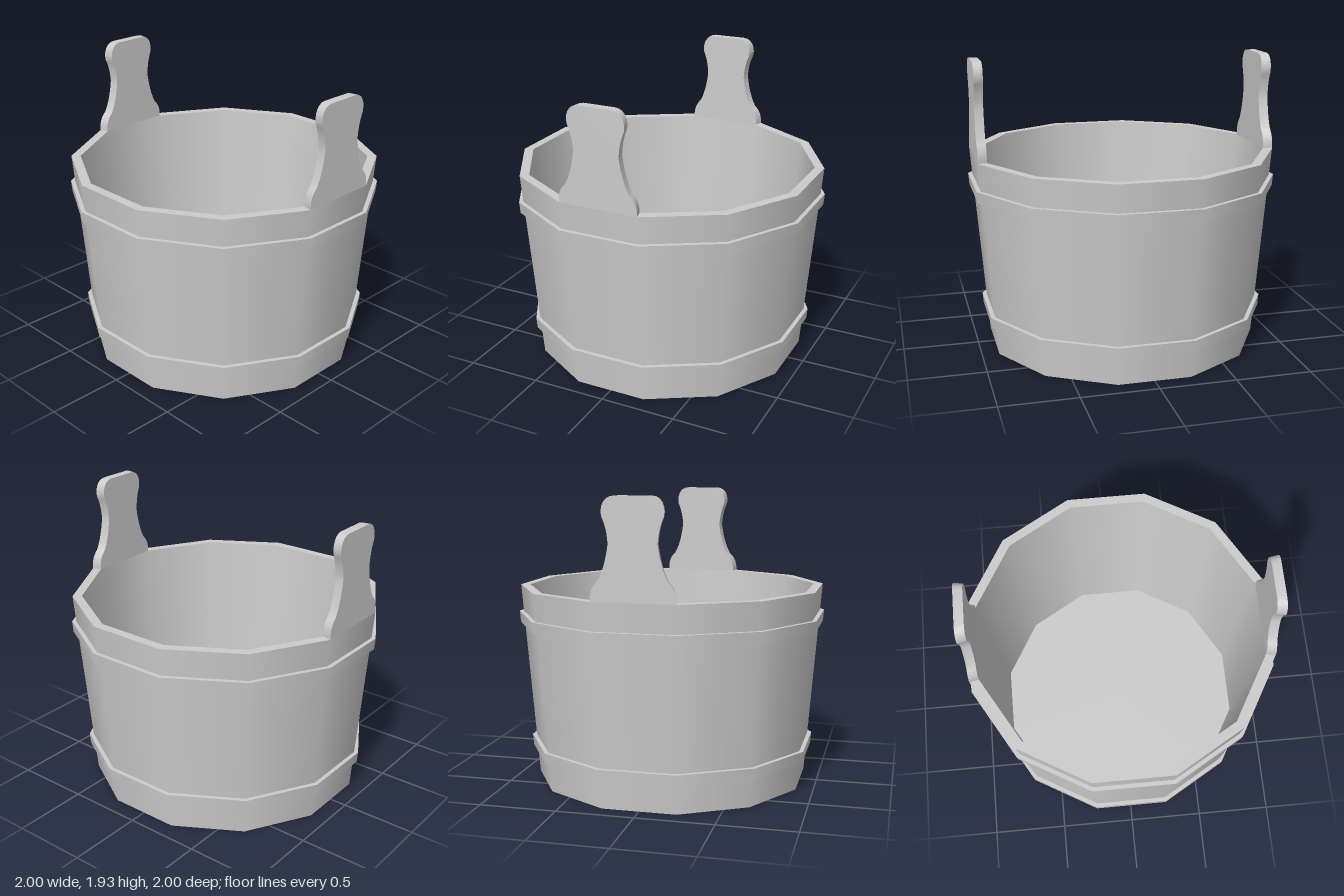
import * as THREE from 'three';
import { mergeGeometries, toCreasedNormals } from 'three/addons/utils/BufferGeometryUtils.js';

const SIDES = 12;
const HALF = Math.PI / SIDES;
const HEIGHT = 1.305;
const OUTER = 0.987, INNER = 0.927; // flat-to-centre distances at the rim
const SLOPE = 0.1 / HEIGHT;
const wallAt = (y) => OUTER - SLOPE * (HEIGHT - y);

const material = new THREE.MeshStandardMaterial({ color: 0xcccccc });

function addMesh(parent, name, geometry) {
  const mesh = new THREE.Mesh(geometry, material);
  mesh.name = name;
  parent.add(mesh);
  return mesh;
}

// Twelve-sided ring, smooth around but sharp at each profile corner.
// Profile points are [flat-to-centre distance, y].
function turned(profile) {
  const pts = profile.map(([r, y]) => new THREE.Vector2(r / Math.cos(HALF), y));
  const strips = [];
  for (let i = 0; i < pts.length - 1; i++) {
    strips.push(new THREE.LatheGeometry([pts[i], pts[i + 1]], SIDES, HALF));
  }
  return mergeGeometries(strips);
}

function hoop(y0, y1, out = 0.027) {
  const a = wallAt(y0), b = wallAt(y1);
  return turned([[a - 0.02, y0], [a + out, y0], [b + out, y1], [b - 0.02, y1]]);
}

// Upright grip with a narrow waist, its edges mitred like the staves
function handleGeometry() {
  const top = 1.928;
  const s = new THREE.Shape();
  s.moveTo(-0.264, HEIGHT);
  s.lineTo(0.264, HEIGHT);
  s.bezierCurveTo(0.268, 1.36, 0.25, 1.4, 0.215, 1.43);
  s.bezierCurveTo(0.18, 1.49, 0.16, 1.57, 0.15, 1.65);
  s.bezierCurveTo(0.155, 1.73, 0.17, 1.77, 0.188, 1.81);
  s.bezierCurveTo(0.2, 1.87, 0.17, top, 0.11, top);
  s.lineTo(-0.11, top);
  s.bezierCurveTo(-0.17, top, -0.2, 1.87, -0.188, 1.81);
  s.bezierCurveTo(-0.17, 1.77, -0.155, 1.73, -0.15, 1.65);
  s.bezierCurveTo(-0.16, 1.57, -0.18, 1.49, -0.215, 1.43);
  s.bezierCurveTo(-0.25, 1.4, -0.268, 1.36, -0.264, HEIGHT);
  const g = new THREE.ExtrudeGeometry(s, { depth: OUTER - INNER, bevelEnabled: false, curveSegments: 6 });
  g.translate(0, 0, INNER);
  const p = g.attributes.position;
  for (let i = 0; i < p.count; i++) p.setX(i, p.getX(i) * p.getZ(i) / OUTER);
  return toCreasedNormals(g, 0.6);
}

export function createModel() {
  const bucket = new THREE.Group();
  bucket.name = 'bucket';

  // Tapered tub: base, outer wall, rim, inner wall, floor
  const floor = 0.01;
  addMesh(bucket, 'tub', turned([
    [0, 0], [wallAt(0), 0], [OUTER, HEIGHT], [INNER, HEIGHT],
    [INNER - SLOPE * (HEIGHT - floor), floor], [0, floor],
  ]));

  // Hoops around the staves
  addMesh(bucket, 'lowerHoop', hoop(0.19, 0.263));
  addMesh(bucket, 'upperHoop', hoop(1.05, 1.125));

  // Front and back handles
  const grip = handleGeometry();
  addMesh(bucket, 'frontHandle', grip);
  addMesh(bucket, 'backHandle', grip).rotation.y = Math.PI;

  return bucket;
}
